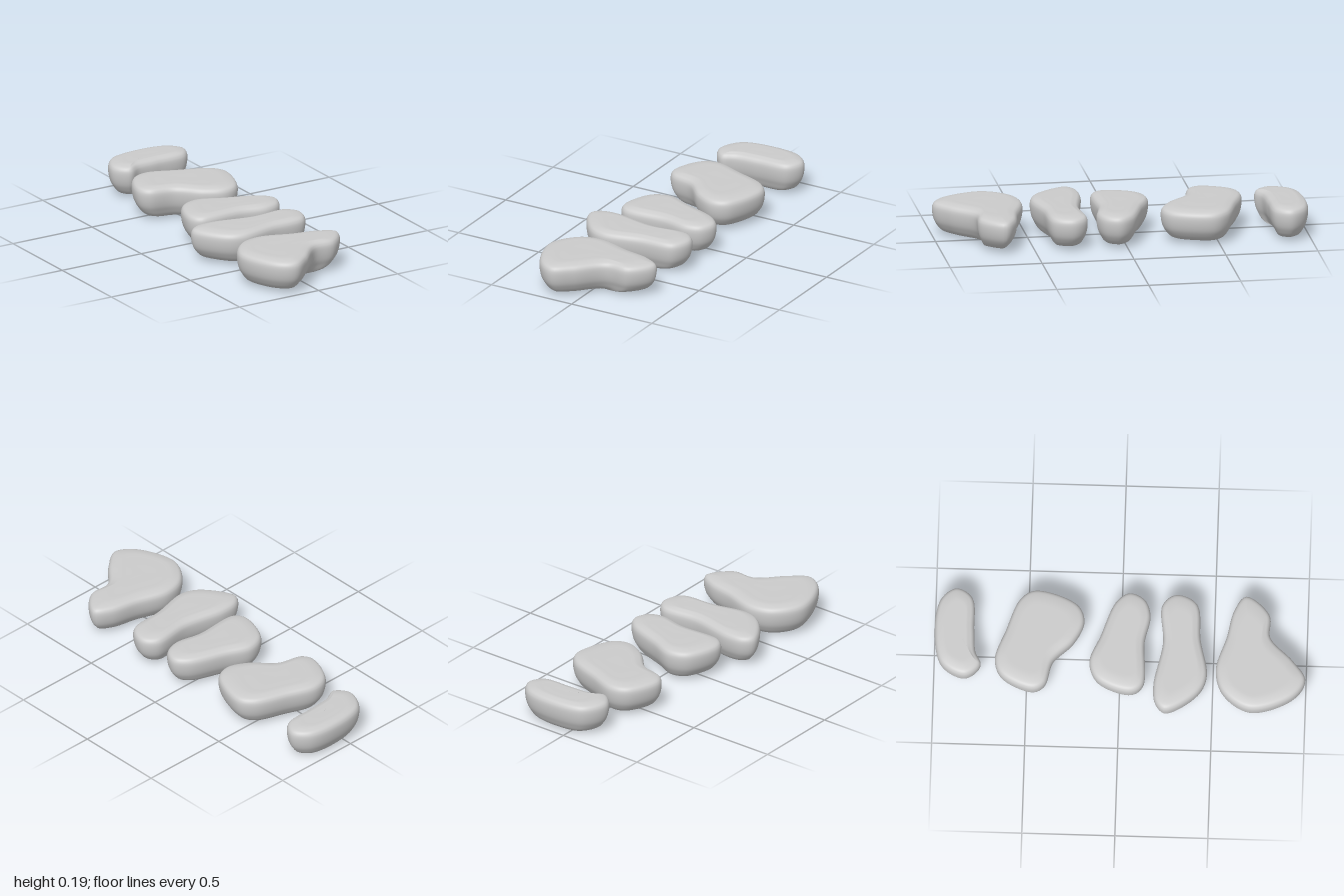
import * as THREE from 'three';

// Edge profile from bottom to top: height, inset from the outline, scale about the centre
const profile = new THREE.CatmullRomCurve3([
  [0, 0.03, 0.04], [0.003, 0.03, 0.5], [0.013, 0.03, 0.81], [0.029, 0.025, 0.92],
  [0.05, 0.018, 0.965], [0.08, 0.007, 0.99], [0.12, 0, 1], [0.158, 0, 1],
  [0.176, 0.008, 0.995], [0.187, 0.024, 0.94], [0.191, 0.03, 0.6], [0.191, 0.03, 0.04],
].map((p) => new THREE.Vector3(...p)));

const SIDES = 96;
const RINGS = 44;

// Stacks inset copies of an outline into a rounded pebble
function stoneGeometry(outline, [cx, cz]) {
  const points = outline.map(([x, z]) => new THREE.Vector3(x, 0, z));
  const curve = new THREE.CatmullRomCurve3(points, true);
  const rim = [];
  for (let i = 0; i < SIDES; i++) {
    const p = curve.getPointAt(i / SIDES);
    const t = curve.getTangentAt(i / SIDES);
    rim.push({ x: p.x, z: p.z, nx: t.z, nz: -t.x });
  }

  const positions = [];
  const index = [];
  for (let r = 0; r <= RINGS; r++) {
    const { x: y, y: inset, z: scale } = profile.getPoint(r / RINGS);
    for (const p of rim) {
      positions.push(
        cx + (p.x - p.nx * inset - cx) * scale, y,
        cz + (p.z - p.nz * inset - cz) * scale);
    }
  }
  for (let r = 0; r < RINGS; r++) {
    for (let i = 0; i < SIDES; i++) {
      const a = r * SIDES + i;
      const b = r * SIDES + (i + 1) % SIDES;
      index.push(a, a + SIDES, b, b, a + SIDES, b + SIDES);
    }
  }
  // Close the small holes left at the middle of the bottom and top
  const bottom = positions.length / 3;
  const last = RINGS * SIDES;
  positions.push(cx, 0, cz, cx, 0.191, cz);
  for (let i = 0; i < SIDES; i++) {
    const j = (i + 1) % SIDES;
    index.push(bottom, i, j, bottom + 1, last + j, last + i);
  }

  const geometry = new THREE.BufferGeometry();
  geometry.setAttribute('position', new THREE.Float32BufferAttribute(positions, 3));
  geometry.setIndex(index);
  geometry.computeVertexNormals();
  return geometry;
}

export function createModel() {
  const group = new THREE.Group();
  group.name = 'steppingStones';
  const material = new THREE.MeshStandardMaterial({ color: 0xcccccc });

  // Each stone: the point its caps close on, then its outline as x, z seen from above
  const addStone = (name, centre, outline) => {
    const mesh = new THREE.Mesh(stoneGeometry(outline, centre), material);
    mesh.name = name;
    group.add(mesh);
  };
  addStone('backStone', [0.08, -0.88], [
    [0.11, -1], [0.27, -0.97], [0.33, -0.89], [0.28, -0.805], [0.1, -0.79],
    [-0.025, -0.78], [-0.1, -0.75], [-0.165, -0.83], [-0.1, -0.96]]);
  addStone('secondBackStone', [0.05, -0.47], [
    [-0.065, -0.672], [0.1, -0.618], [0.28, -0.545], [0.33, -0.465], [0.255, -0.238], [0.165, -0.2],
    [0.05, -0.25], [-0.065, -0.36], [-0.2, -0.402], [-0.233, -0.465], [-0.16, -0.635]]);
  addStone('middleStone', [0.04, 0.01], [
    [-0.065, -0.164], [0.08, -0.11], [0.28, -0.03], [0.33, 0.04], [0.295, 0.122],
    [0.21, 0.154], [0.06, 0.127], [-0.19, 0.125], [-0.233, 0.06], [-0.17, -0.12]]);
  addStone('secondFrontStone', [0, 0.33], [
    [-0.19, 0.183], [0.055, 0.228], [0.27, 0.219], [0.328, 0.29], [0.28, 0.402],
    [0.08, 0.427], [-0.13, 0.466], [-0.23, 0.42], [-0.333, 0.249], [-0.29, 0.197]]);
  addStone('frontStone', [-0.1, 0.71], [
    [-0.09, 0.516], [0.1, 0.57], [0.25, 0.605], [0.33, 0.665], [0.23, 0.793], [0.1, 0.802],
    [-0.03, 0.927], [-0.135, 0.996], [-0.235, 0.935], [-0.314, 0.705], [-0.22, 0.555]]);
  return group;
}
